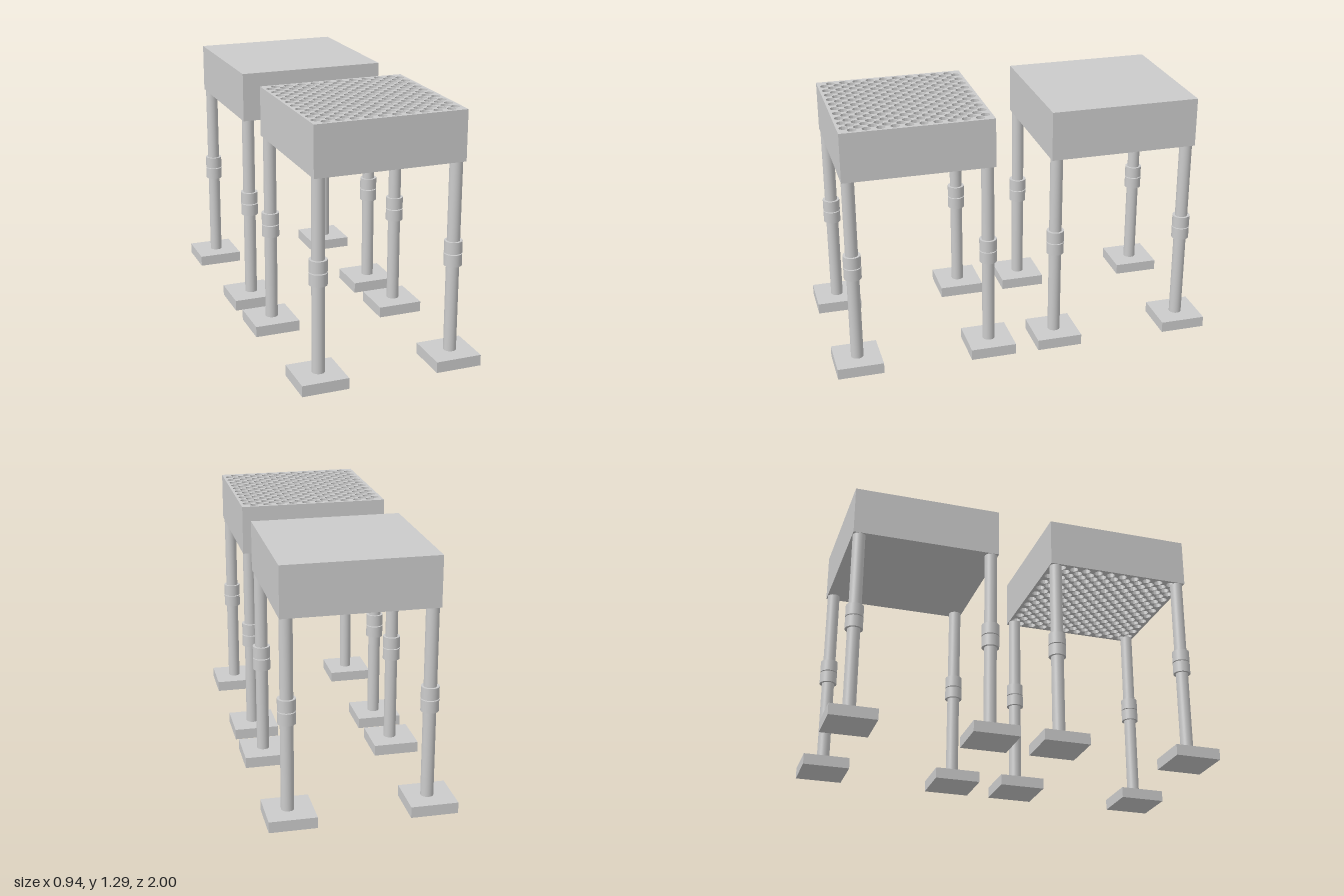
import * as THREE from 'three';
import { toCreasedNormals } from 'three/addons/utils/BufferGeometryUtils.js';

const WIDTH = 0.77, BOTTOM = 1.04, TOP = 1.295, LEG = 0.35;
const material = new THREE.MeshStandardMaterial({ color: 0xcccccc });

function addMesh(parent, name, geometry, x, y, z) {
  const mesh = new THREE.Mesh(geometry, material);
  mesh.name = name;
  mesh.position.set(x, y, z);
  parent.add(mesh);
  return mesh;
}

// Square block pierced from top to bottom by two interleaved grids of round holes
function perforatedBlock() {
  const h = WIDTH / 2, pitch = 0.07, radius = 0.0225;
  const shape = new THREE.Shape();
  shape.moveTo(-h, -h).lineTo(h, -h).lineTo(h, h).lineTo(-h, h).closePath();
  for (const [columns, rows] of [[10, 11], [11, 10]]) {
    for (let i = 0; i < columns; i++) {
      for (let j = 0; j < rows; j++) {
        const x = (i - (columns - 1) / 2) * pitch;
        const y = (j - (rows - 1) / 2) * pitch;
        shape.holes.push(new THREE.Path().absarc(x, y, radius, 0, Math.PI * 2, true));
      }
    }
  }
  const geometry = new THREE.ExtrudeGeometry(shape, {
    depth: TOP - BOTTOM, bevelEnabled: false, curveSegments: 16,
  });
  geometry.rotateX(-Math.PI / 2).translate(0, (BOTTOM - TOP) / 2, 0);
  return toCreasedNormals(geometry, 0.7);
}

// One leg: foot plate, post and a pair of collars
function createLeg() {
  const leg = new THREE.Group();
  leg.name = 'leg';
  addMesh(leg, 'foot', new THREE.BoxGeometry(0.238, 0.057, 0.238), -0.003, 0.0285, 0);
  addMesh(leg, 'post', new THREE.CylinderGeometry(0.0325, 0.0325, BOTTOM - 0.05, 32),
    0.003, (BOTTOM + 0.05) / 2, 0);
  const collar = new THREE.CylinderGeometry(0.045, 0.045, 0.061, 32);
  addMesh(leg, 'lowerCollar', collar, 0.003, 0.54, 0);
  addMesh(leg, 'upperCollar', collar, 0.003, 0.606, 0);
  return leg;
}

// A block standing on four legs
function createStand(name, blockName, blockGeometry, z) {
  const stand = new THREE.Group();
  stand.name = name;
  stand.position.z = z;
  addMesh(stand, blockName, blockGeometry, 0.004, (BOTTOM + TOP) / 2, 0);
  for (const x of [-LEG, LEG]) {
    for (const legZ of [-LEG, LEG]) {
      const leg = createLeg();
      leg.position.set(x, 0, legZ);
      stand.add(leg);
    }
  }
  return stand;
}

export function createModel() {
  const model = new THREE.Group();
  model.name = 'blockStands';
  const solid = new THREE.BoxGeometry(WIDTH, TOP - BOTTOM, WIDTH);
  model.add(
    createStand('frontStand', 'perforatedBlock', perforatedBlock(), 0.53),
    createStand('backStand', 'solidBlock', solid, -0.53),
  );
  return model;
}
